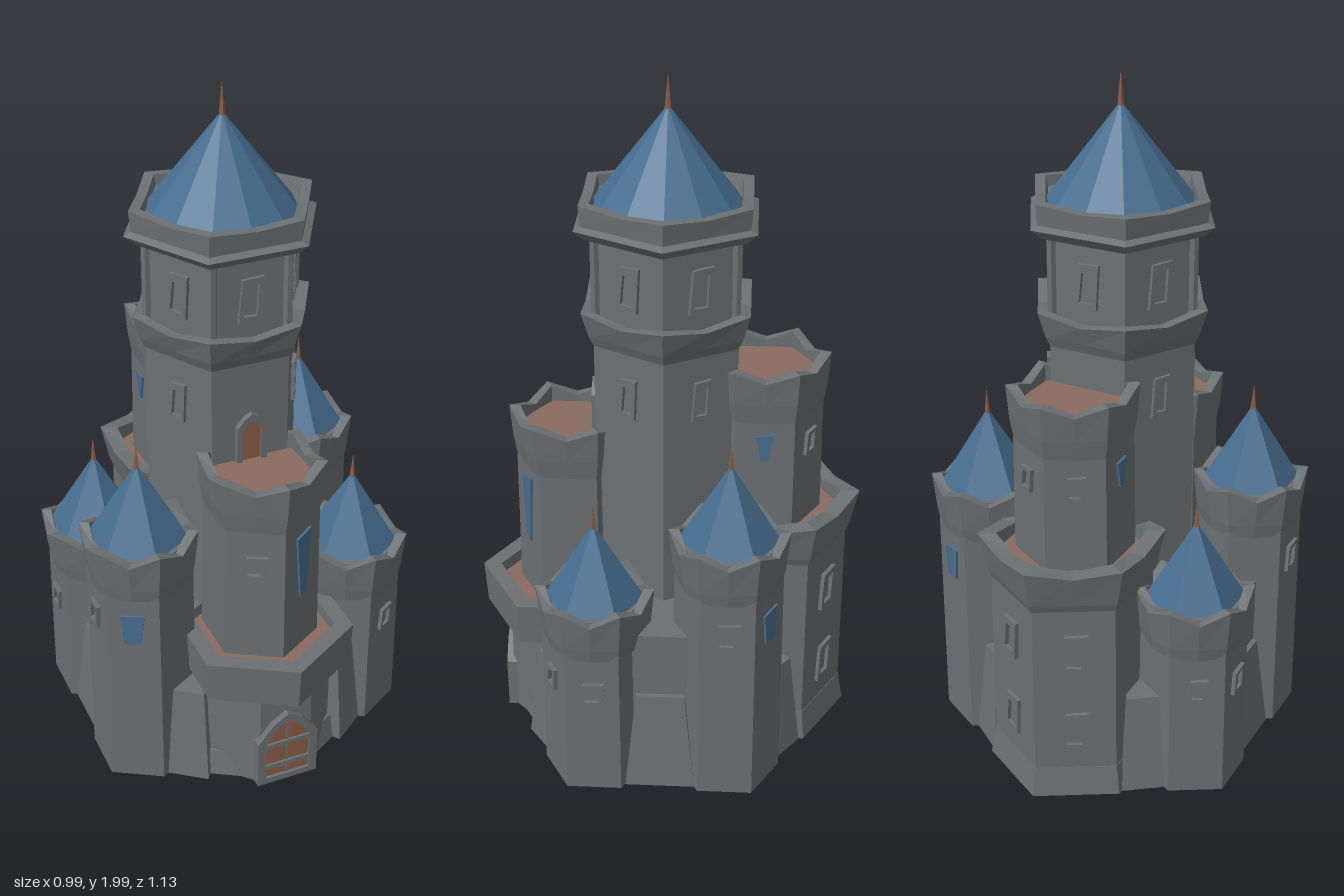
import * as THREE from 'three';

const paint = (name, color) => {
  const m = new THREE.MeshStandardMaterial({ color });
  m.name = name;
  return m;
};

export function createModel() {
  const stone = paint('stone', 0x6b7072);
  const slate = paint('blueRoof', 0x466d8e);
  const clay = paint('clayFloor', 0x8a6b5f);
  const wood = paint('doorWood', 0x8c5c46);
  const castle = new THREE.Group();
  castle.name = 'castle';

  // Faceted mesh
  function add(parent, name, geo, mat, x = 0, y = 0, z = 0, ry = 0) {
    const g = geo.index ? geo.toNonIndexed() : geo;
    g.computeVertexNormals();
    const m = new THREE.Mesh(g, mat);
    m.name = name;
    m.position.set(x, y, z);
    m.rotation.y = ry;
    parent.add(m);
    return m;
  }

  // Polygonal prism from y0 to y1
  function prism(parent, name, mat, r0, r1, y0, y1, n, x = 0, z = 0, ry = 0) {
    const geo = new THREE.CylinderGeometry(r1, r0, y1 - y0, n);
    return add(parent, name, geo, mat, x, (y0 + y1) / 2, z, ry);
  }

  // Closed battlement ring: profile points are [radius, y, drop between corners]
  function crown(parent, name, profile, n, k, x = 0, z = 0, ry = 0) {
    const pos = [], idx = [], steps = n * 2, p = profile.length;
    for (let i = 0; i < steps; i++) {
      const t = (i / steps) * Math.PI * 2, mid = i % 2;
      for (const [r, y, drop = 0] of profile) {
        const q = mid ? r * k : r;
        pos.push(q * Math.sin(t), y - mid * drop, q * Math.cos(t));
      }
    }
    for (let i = 0; i < steps; i++) for (let j = 0; j < p; j++) {
      const i2 = (i + 1) % steps, j2 = (j + 1) % p;
      const a = i * p + j, b = i2 * p + j, c = i2 * p + j2, d = i * p + j2;
      idx.push(a, b, c, a, c, d);
    }
    const geo = new THREE.BufferGeometry();
    geo.setAttribute('position', new THREE.Float32BufferAttribute(pos, 3));
    geo.setIndex(idx);
    return add(parent, name, geo, stone, x, 0, z, ry);
  }

  const poly = pts => pts.map(([x, y]) => new THREE.Vector2(x, y));
  function plate(pts, hole, depth) {
    const s = new THREE.Shape(poly(pts));
    if (hole) s.holes.push(new THREE.Path(poly(hole)));
    return new THREE.ExtrudeGeometry(s, { depth, bevelEnabled: false });
  }

  // Crooked stone window frame on a wall at distance d in direction a
  function frame(parent, a, d, y, w = 0.065, h = 0.12, x = 0, z = 0) {
    const u = w / 2, v = h / 2;
    const geo = plate(
      [[-u, -v], [u * 0.8, -v], [u, v], [-u * 0.7, v * 0.95]],
      [[-u * 0.6, -v * 0.72], [u * 0.45, -v * 0.75], [u * 0.6, v * 0.7], [-u * 0.35, v * 0.6]], 0.014);
    add(parent, 'windowFrame', geo, stone, x + Math.sin(a) * (d - 0.004), y, z + Math.cos(a) * (d - 0.004), a);
  }

  // Thin blue pane
  function pane(parent, a, d, y, w, h, x = 0, z = 0, taper = 0.4) {
    const u = w / 2, v = h / 2;
    const geo = plate([[-u * taper, -v], [u * taper, -v], [u, v], [-u, v * 0.9]], null, 0.008);
    add(parent, 'bluePane', geo, slate, x + Math.sin(a) * (d - 0.003), y, z + Math.cos(a) * (d - 0.003), a);
  }

  // Sloping buttress
  function buttress(a, dist, w, h) {
    const geo = new THREE.BoxGeometry(w, h, 0.16);
    const p = geo.attributes.position;
    for (let i = 0; i < p.count; i++) if (p.getY(i) > 0) {
      p.setX(i, p.getX(i) * 0.7);
      if (p.getZ(i) > 0) p.setZ(i, p.getZ(i) - 0.03);
    }
    add(castle, 'buttress', geo, stone, Math.sin(a) * (dist - 0.08), h / 2, Math.cos(a) * (dist - 0.08), a);
  }

  const D = Math.PI / 180, H = Math.PI / 6;

  // Ground storey and side walls
  prism(castle, 'baseSkirt', stone, 0.455, 0.44, 0, 0.08, 12, 0, 0, H / 2);
  prism(castle, 'baseCore', stone, 0.43, 0.4, 0.08, 0.3, 12, 0, 0, H / 2);
  for (const s of [1, -1]) {
    add(castle, 'sideWall', new THREE.BoxGeometry(0.22, 0.5, 0.36), stone, s * 0.3, 0.25, 0);
    buttress(s * Math.PI / 2, 0.455, 0.2, 0.3);
    for (const a of [36, 144]) buttress(s * a * D, 0.46, 0.13, 0.3);
  }

  // Corner towers: one tall and one low on each side, turned half a circle
  for (const turn of [0, Math.PI]) {
    const side = new THREE.Group();
    side.name = turn ? 'leftTowers' : 'rightTowers';
    side.rotation.y = turn;
    castle.add(side);
    const x = 0.335;
    for (const [z, t] of [[0.19, 0.61], [-0.19, 0.81]]) {
      prism(side, 'cornerTower', stone, 0.158, 0.153, 0, t - 0.03, 6, x, z);
      crown(side, 'cornerBattlement', [[0.15, t - 0.16], [0.158, t - 0.12], [0.17, t, 0.035],
        [0.14, t, 0.035], [0.13, t - 0.06]], 6, 0.93, x, z);
      prism(side, 'cornerRoof', slate, 0.142, 0.002, t - 0.025, t + 0.205, 6, x, z);
      prism(side, 'cornerSpire', wood, 0.01, 0.001, t + 0.18, t + 0.265, 5, x, z);
    }
    frame(side, 90 * D, 0.136, 0.34, 0.07, 0.07, x, 0.19);
    frame(side, 30 * D, 0.136, 0.35, 0.06, 0.07, x, 0.19);
    frame(side, 90 * D, 0.135, 0.55, 0.07, 0.08, x, -0.19);
    pane(side, 150 * D, 0.135, 0.55, 0.07, 0.1, x, -0.19, 0.7);
  }

  // Gatehouse
  const gz = 0.28;
  prism(castle, 'gatehouse', stone, 0.215, 0.21, 0, 0.36, 8, 0, gz, Math.PI / 8);
  crown(castle, 'gatehouseBattlement', [[0.2, 0.34], [0.258, 0.33], [0.266, 0.46],
    [0.212, 0.46], [0.208, 0.4]], 6, 0.866, 0, 0.3);
  prism(castle, 'gatehouseFloor', clay, 0.213, 0.213, 0.34, 0.425, 6, 0, 0.3);
  const arch = (w, y0, y1, top) => [[-w, y0], [w, y0], [w, y1], [w * 0.5, (y1 + top * 2) / 3], [0, top], [-w * 0.5, (y1 + top * 2) / 3], [-w, y1]];
  add(castle, 'gateFrame', plate(arch(0.095, 0, 0.16, 0.25), arch(0.07, 0.02, 0.15, 0.225), 0.035), stone, 0, 0, 0.46);
  add(castle, 'gateDoor', plate(arch(0.075, 0.015, 0.155, 0.23), null, 0.008), wood, 0, 0, 0.478);
  for (const y of [0.06, 0.14]) add(castle, 'gateBar', new THREE.BoxGeometry(0.14, 0.015, 0.008), stone, 0, y, 0.489);
  add(castle, 'gateSeam', new THREE.BoxGeometry(0.006, 0.19, 0.004), stone, 0, 0.115, 0.487);

  // Rear bastion
  prism(castle, 'rearFoot', stone, 0.25, 0.235, 0, 0.09, 6, 0, -0.3);
  prism(castle, 'rearBastion', stone, 0.233, 0.23, 0.08, 0.66, 6, 0, -0.3);
  crown(castle, 'rearBattlement', [[0.228, 0.61], [0.24, 0.64], [0.266, 0.755, 0.02],
    [0.212, 0.755, 0.02], [0.208, 0.68]], 6, 0.866, 0, -0.3);
  prism(castle, 'rearFloor', clay, 0.213, 0.213, 0.66, 0.705, 6, 0, -0.3);
  for (const a of [150, -150]) for (const y of [0.22, 0.48]) frame(castle, a * D, 0.202, y, 0.08, 0.12, 0, -0.3);

  // Stepped turrets in front of and behind the keep
  for (const [s, y0, t] of [[1, 0.4, 1.01], [-1, 0.66, 1.205]]) {
    const z = s * 0.28;
    prism(castle, 'turret', stone, 0.17, 0.165, y0, t - 0.07, 6, 0, z);
    crown(castle, 'turretBattlement', [[0.165, t - 0.16], [0.175, t - 0.1], [0.183, t, 0.03],
      [0.15, t, 0.03], [0.148, t - 0.09]], 6, 0.88, 0, z);
    prism(castle, 'turretFloor', clay, 0.152, 0.152, t - 0.08, t - 0.05, 6, 0, z);
  }
  pane(castle, 30 * D, 0.146, 0.71, 0.065, 0.22, 0, 0.28);
  frame(castle, -30 * D, 0.146, 0.74, 0.07, 0.07, 0, 0.28);
  for (const s of [1, -1]) {
    pane(castle, s * 90 * D, 0.146, 0.97, 0.05, 0.08, 0, -0.28);
    frame(castle, s * 150 * D, 0.146, 0.96, 0.06, 0.07, 0, -0.28);
  }

  // Keep shaft with its roof-terrace door
  prism(castle, 'keep', stone, 0.232, 0.23, 0.08, 1.3, 6, 0, 0, H);
  for (const a of [60, 120, -60, -120]) frame(castle, a * D, 0.2, 1.13, 0.06, 0.12);
  add(castle, 'terraceDoorFrame', plate(arch(0.045, 0.94, 1.07, 1.11), arch(0.028, 0.95, 1.06, 1.09), 0.022), stone, 0, 0, 0.195);
  add(castle, 'terraceDoor', plate(arch(0.03, 0.94, 1.06, 1.095), null, 0.008), wood, 0, 0, 0.199);

  // Upper keep
  crown(castle, 'keepBattlement', [[0.23, 1.26], [0.245, 1.29], [0.268, 1.365, 0.02],
    [0.235, 1.365, 0.02], [0.2, 1.33]], 6, 0.866, 0, 0, H);
  prism(castle, 'upperKeep', stone, 0.222, 0.222, 1.29, 1.62, 6, 0, 0, H);
  for (let i = 0; i < 6; i++) {
    const a = i * 60 * D, b = a + H;
    frame(castle, a, 0.193, 1.455, 0.075, 0.13);
    prism(castle, 'cornerColumn', stone, 0.014, 0.014, 1.33, 1.6, 6, Math.sin(b) * 0.222, Math.cos(b) * 0.222, b);
  }
  crown(castle, 'keepCornice', [[0.21, 1.575], [0.25, 1.575], [0.284, 1.605], [0.262, 1.615],
    [0.268, 1.675, 0.01], [0.235, 1.675, 0.01], [0.225, 1.63]], 6, 0.866, 0, 0, H);
  prism(castle, 'keepTerrace', stone, 0.24, 0.24, 1.6, 1.645, 6, 0, 0, H);

  // Main roof and spire
  prism(castle, 'keepRoof', slate, 0.213, 0.003, 1.64, 1.91, 12);
  prism(castle, 'keepSpire', wood, 0.012, 0.001, 1.88, 1.99, 5);
  return castle;
}
